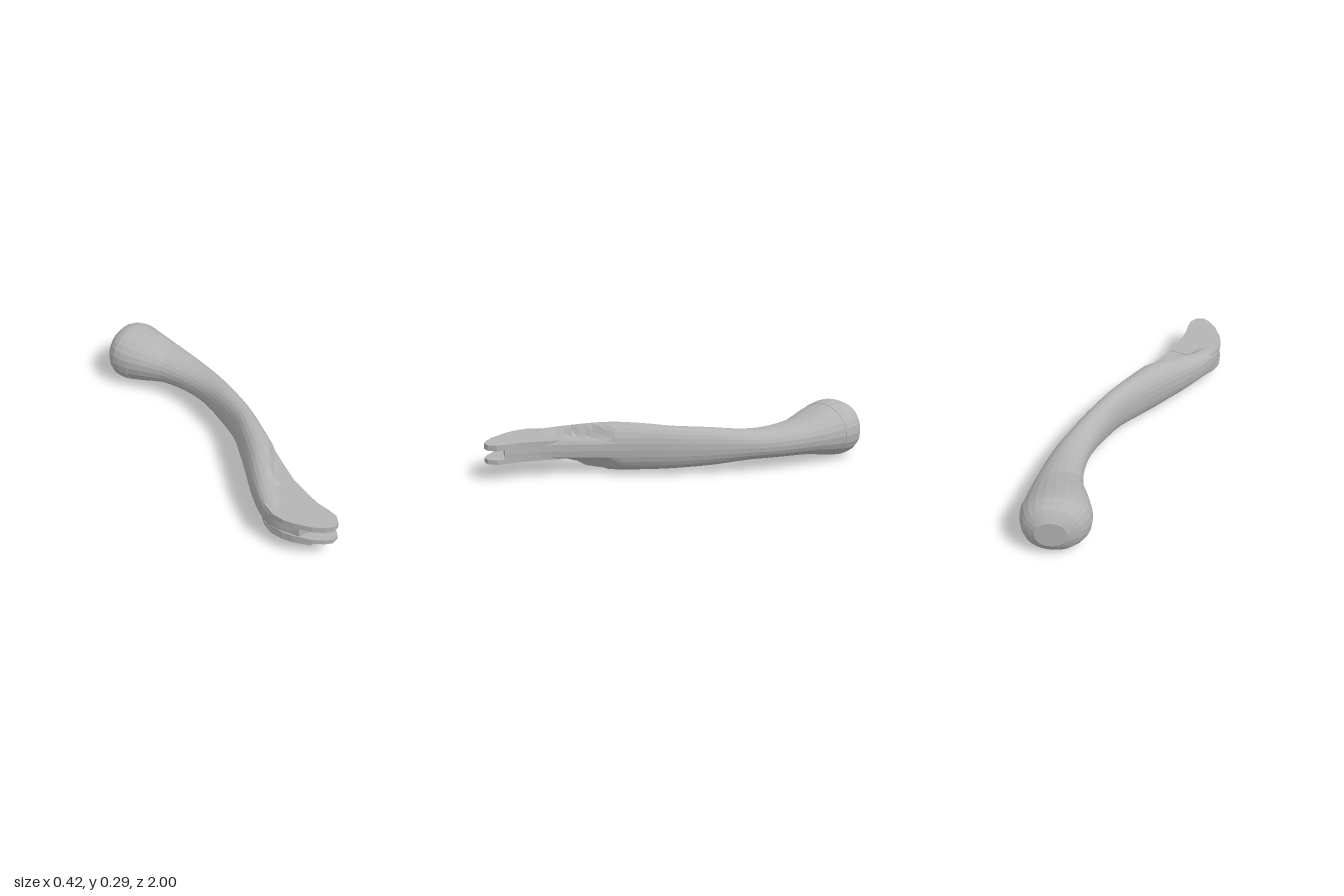
import * as THREE from 'three';

const V = (x, y, z) => new THREE.Vector3(x, y, z);

// Section stations from rear knob to front: left x, left z, right x, right z, bottom y, top y
const stations = [
  [-0.15, -0.93, -0.01, -0.995, 0.08, 0.22],
  [-0.195, -0.875, 0.06, -0.98, 0.025, 0.272],
  [-0.21, -0.80, 0.105, -0.935, 0.005, 0.295],
  [-0.172, -0.72, 0.132, -0.88, 0.01, 0.285],
  [-0.105, -0.64, 0.155, -0.79, 0.03, 0.262],
  [-0.04, -0.57, 0.175, -0.70, 0.05, 0.238],
  [0.02, -0.45, 0.205, -0.52, 0.06, 0.222],
  [0.058, -0.30, 0.215, -0.36, 0.062, 0.224],
  [0.065, -0.12, 0.203, -0.16, 0.045, 0.245],
  [0.05, 0.05, 0.182, 0.04, 0.034, 0.258],
  [0.0, 0.20, 0.152, 0.20, 0.025, 0.269],
  [-0.058, 0.35, 0.12, 0.36, 0.022, 0.27],
  [-0.118, 0.50, 0.09, 0.52, 0.04, 0.25],
  [-0.162, 0.65, 0.065, 0.66, 0.068, 0.22],
  [-0.165, 0.78, 0.058, 0.78, 0.085, 0.2],
  [-0.10, 0.90, 0.08, 0.90, 0.1, 0.2],
];
const N = stations.length - 1;
const leftEdge = new THREE.CatmullRomCurve3(stations.map(s => V(s[0], s[4], s[1])), false, 'catmullrom', 0.5);
const rightEdge = new THREE.CatmullRomCurve3(stations.map(s => V(s[2], s[5], s[3])), false, 'catmullrom', 0.5);

// Diagonal shoulder: in front of it the body is cut down to a flat tongue
function cutFlat(p) {
  const d = 0.847 * (p.x - 0.12) + 0.53 * (p.z - 0.27);
  const t = THREE.MathUtils.smoothstep(d, -0.02, 0.05);
  p.y = Math.min(p.y, THREE.MathUtils.lerp(0.3, 0.197, t));
  p.y = Math.max(p.y, THREE.MathUtils.lerp(0, 0.103, t));
  return p;
}

// Closed faceted loft between two station indices
function loft(from, to, rings, swell = 1, sides = 24) {
  const pos = [], idx = [];
  for (let i = 0; i <= rings; i++) {
    const u = from + (to - from) * i / rings;
    const l = leftEdge.getPoint(u / N), r = rightEdge.getPoint(u / N);
    const box = THREE.MathUtils.lerp(0.92, 0.4, THREE.MathUtils.smoothstep(u, 11, 14.5));
    const pw = v => Math.sign(v) * Math.pow(Math.abs(v), box);
    for (let j = 0; j < sides; j++) {
      const a = j / sides * Math.PI * 2;
      const c = pw(Math.cos(a)) * swell, s = pw(Math.sin(a)) * swell;
      const p = cutFlat(V(
        (l.x + r.x) / 2 + c * (r.x - l.x) / 2,
        (l.y + r.y) / 2 + s * (r.y - l.y) / 2,
        (l.z + r.z) / 2 + c * (r.z - l.z) / 2));
      pos.push(p.x, p.y, p.z);
    }
  }
  for (let i = 0; i < rings; i++) for (let j = 0; j < sides; j++) {
    const k = (j + 1) % sides, a = i * sides, b = a + sides;
    idx.push(a + j, a + k, b + k, a + j, b + k, b + j);
  }
  // End caps
  for (const [ring, flip] of [[0, true], [rings, false]]) {
    const o = ring * sides, c = pos.length / 3, m = V(0, 0, 0);
    for (let j = 0; j < sides; j++) m.add(V(pos[(o + j) * 3], pos[(o + j) * 3 + 1], pos[(o + j) * 3 + 2]));
    m.divideScalar(sides);
    pos.push(m.x, m.y, m.z);
    for (let j = 0; j < sides; j++) {
      const k = (j + 1) % sides;
      if (flip) idx.push(c, o + k, o + j); else idx.push(c, o + j, o + k);
    }
  }
  const g = new THREE.BufferGeometry();
  g.setAttribute('position', new THREE.Float32BufferAttribute(pos, 3));
  g.setIndex(idx);
  const flat = g.toNonIndexed();
  flat.computeVertexNormals();
  return flat;
}

// Horizontal plate from an x/z outline
function plate(points, bottom, top) {
  const shape = new THREE.Shape(points.map(p => new THREE.Vector2(p[0], p[1])));
  const g = new THREE.ExtrudeGeometry(shape, { depth: top - bottom, bevelEnabled: false });
  g.rotateX(Math.PI / 2);
  g.translate(0, top, 0);
  return g;
}

export function createModel() {
  const group = new THREE.Group();
  const grey = new THREE.MeshStandardMaterial({ color: 0xb4b4b4 });
  grey.name = 'plain grey';
  const add = (name, geometry) => {
    const mesh = new THREE.Mesh(geometry, grey);
    mesh.name = name;
    group.add(mesh);
  };

  // Rounded rear knob, collar behind the bend, and the curved shaft
  add('knob', loft(0, 3, 6));
  add('collar', loft(3, 5, 3, 0.988));
  add('shaft', loft(5, N, 44));

  // Forked tongue: two flat prongs with an open slot between them
  const outline = [
    [-0.13, 0.62], [-0.162, 0.7], [-0.168, 0.77], [-0.15, 0.83], [-0.12, 0.88], [-0.06, 0.95],
    [-0.01, 0.985], [0.03, 1], [0.065, 0.985], [0.085, 0.94], [0.078, 0.89], [0.062, 0.82],
    [0.058, 0.74], [0.06, 0.62],
  ];
  add('upperProng', plate(outline, 0.17, 0.2));
  add('lowerProng', plate(outline, 0.098, 0.122));

  // Raised rim under the lower prong
  add('lowerRim', plate([
    [-0.135, 0.62], [-0.165, 0.7], [-0.17, 0.77], [-0.15, 0.83], [-0.12, 0.88], [-0.055, 0.945],
    [-0.045, 0.925], [-0.095, 0.86], [-0.13, 0.79], [-0.135, 0.72], [-0.11, 0.62],
  ], 0.08, 0.1));

  return group;
}
